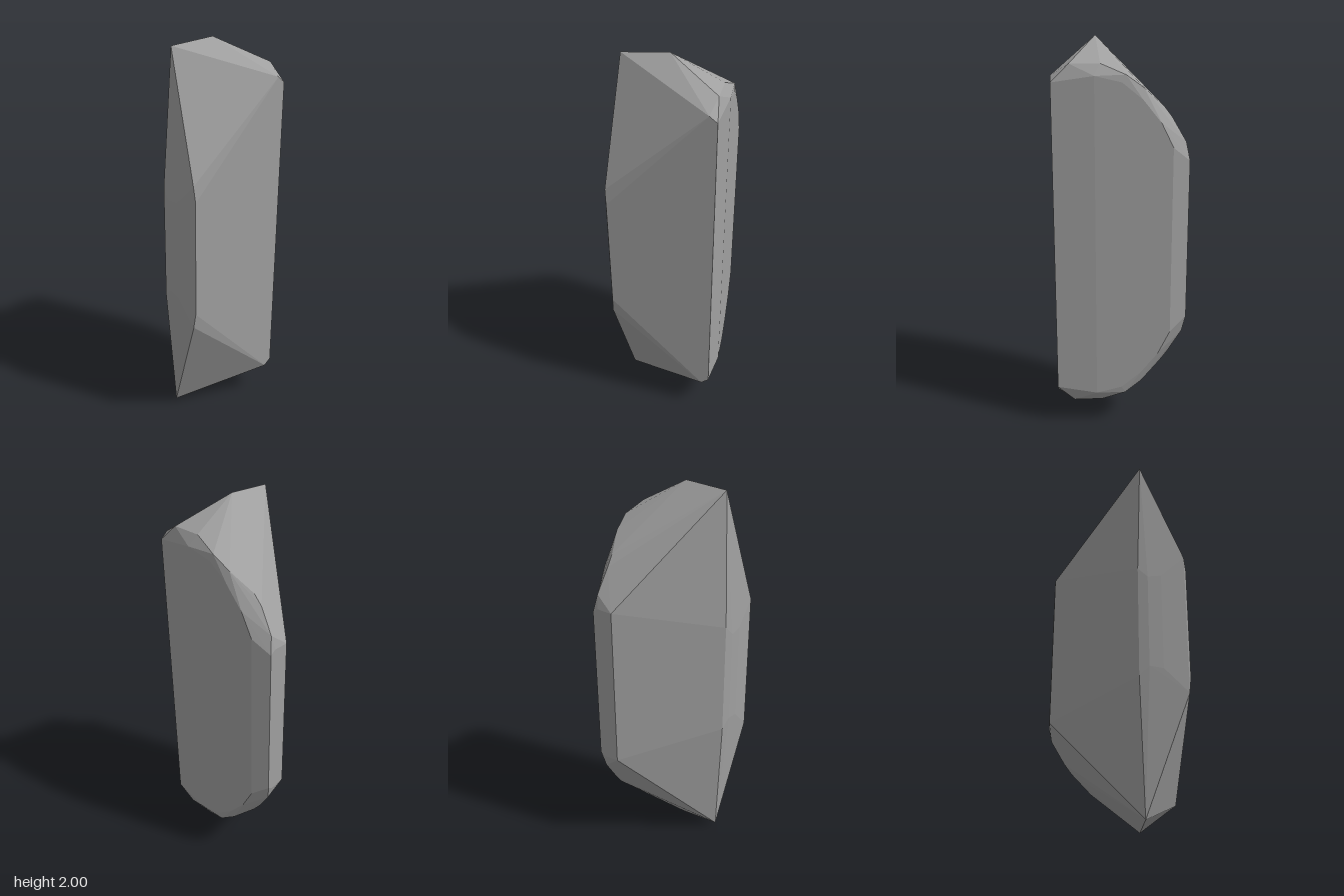
import * as THREE from 'three';
import { ConvexGeometry } from 'three/addons/geometries/ConvexGeometry.js';

// Corners of the upper half; the lower half mirrors them about mid height.
const MID = 1;
const upperCorners = [
  // pointed crest
  [0.112, 2.0, 0], [0.105, 1.98, 0.232],
  // front edge and its slightly swollen face
  [0.08, 1.3, 0.27], [0.13, 1.25, 0.279], [0.2, 1.26, 0.279],
  [0.325, 1.38, 0.273], [0.335, 1.3, 0.268],
  // left side, rear corner
  [0.335, 1.82, -0.22], [0.335, 1.79, -0.258],
  // worn rim behind the crest
  [0.247, 1.875, -0.245], [0.1, 1.875, -0.247], [-0.02, 1.825, -0.274],
  [-0.105, 1.765, -0.262], [-0.21, 1.672, -0.215], [-0.25, 1.62, -0.212],
  [-0.32, 1.5, -0.225],
  // narrow right side
  [-0.337, 1.425, -0.132], [-0.337, 1.43, -0.215], [-0.337, 1.41, -0.245],
  // flat back
  [0.13, 1.82, -0.28], [0, 1.79, -0.28], [-0.1, 1.71, -0.28],
  [-0.19, 1.6, -0.28], [-0.25, 1.48, -0.28],
];

export function createModel() {
  const group = new THREE.Group();
  group.name = 'crystalShard';

  const stone = new THREE.MeshStandardMaterial({ color: 0xa0a0a0 });
  stone.name = 'grey stone';

  const points = upperCorners.flatMap(([x, y, z]) => [
    new THREE.Vector3(x, y, z),
    new THREE.Vector3(x, 2 * MID - y, z),
  ]);

  // Faceted convex body with flat faces
  const shard = new THREE.Mesh(new ConvexGeometry(points), stone);
  shard.name = 'facetedShard';
  group.add(shard);
  return group;
}
